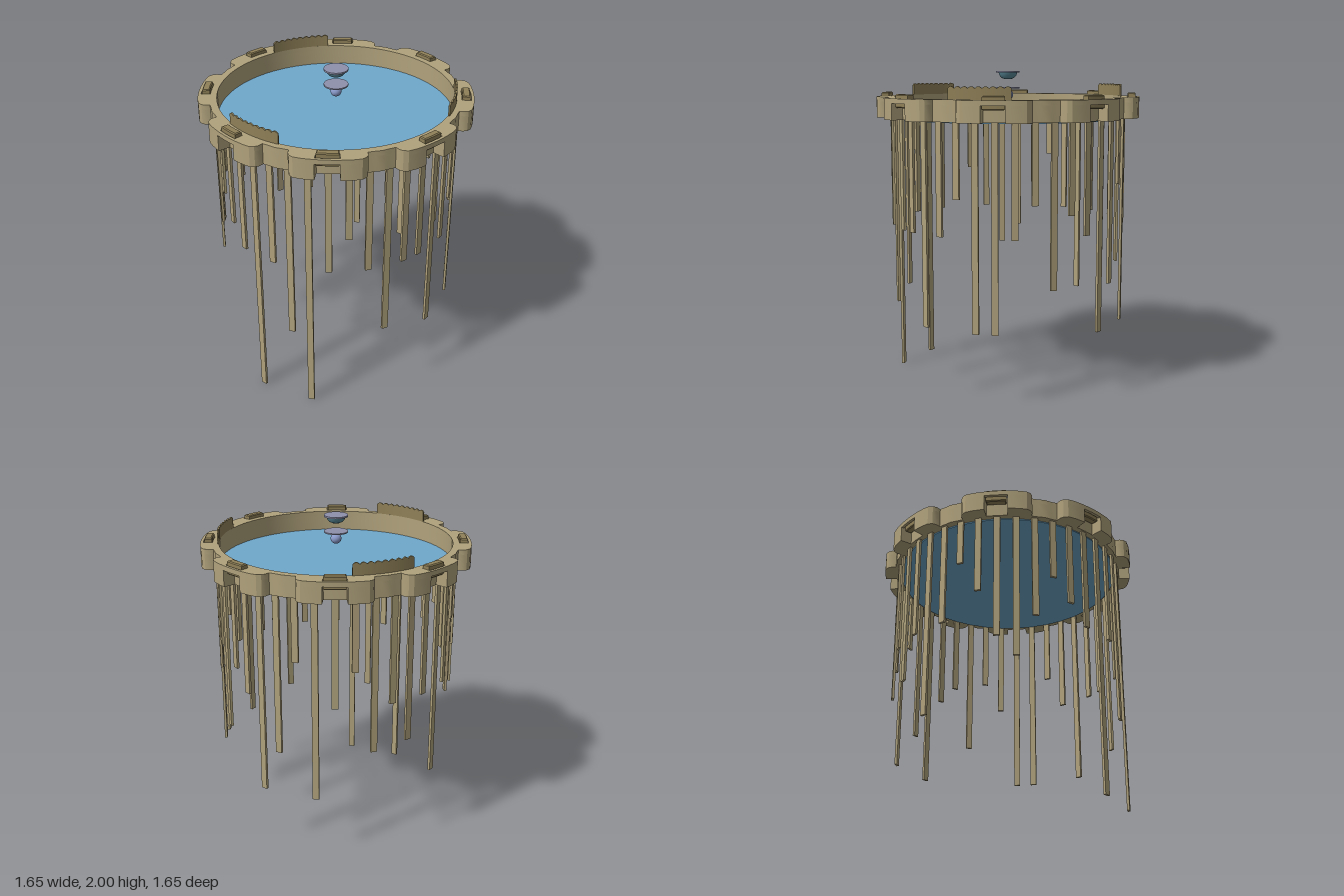
import * as THREE from 'three';
import { toCreasedNormals } from 'three/addons/utils/BufferGeometryUtils.js';

const RAD = Math.PI / 180;
const mat = (color, side = THREE.FrontSide) =>
  new THREE.MeshStandardMaterial({ color, side });
const wood = mat(0xb0a27c);
const darkWood = mat(0x8f8058, THREE.DoubleSide);
const water = mat(0x6fa8cc, THREE.DoubleSide);
const violet = mat(0x8f90ab);
const teal = mat(0x5b8c9c, THREE.DoubleSide);
const blue = mat(0x8c9ccc);

const polar = (r, deg) => new THREE.Vector2(r * Math.cos(deg * RAD), r * Math.sin(deg * RAD));

// Flat outline raised from y0 to y1
function slab(shape, y0, y1, bevel = 0) {
  const g = new THREE.ExtrudeGeometry(shape, {
    depth: y1 - y0 - bevel, bevelEnabled: bevel > 0, bevelThickness: bevel,
    bevelSize: bevel, bevelOffset: -bevel, bevelSegments: 1, curveSegments: 64,
  });
  g.rotateX(-Math.PI / 2).translate(0, y0, 0);
  return toCreasedNormals(g, 0.5);
}

// Curved rectangle between two radii, centred on an angle
function sector(r0, r1, mid, half) {
  const pts = [];
  for (let i = 0; i <= 6; i++) pts.push(polar(r1, mid - half + (i * half) / 3));
  for (let i = 6; i >= 0; i--) pts.push(polar(r0, mid - half + (i * half) / 3));
  return pts;
}

// Eight-lobed ring outline, optionally with a notch in each lobe
function rimShape(notched) {
  const side = [[-22.5, 0.775], [-19.5, 0.77], [-16.3, 0.77], [-16, 0.8], [-15, 0.822],
    [-13.2, 0.837], [-10, 0.84], [-7, 0.84], [-4.9, 0.84]];
  const middle = notched
    ? [[-4.9, 0.765], [0, 0.765], [4.9, 0.765]]
    : [[-2.5, 0.84], [0, 0.84], [2.5, 0.84]];
  const mirrored = side.slice(1).reverse().map(([a, r]) => [-a, r]);
  const lobe = [...side, ...middle, ...mirrored];
  const pts = [];
  for (let k = 0; k < 8; k++)
    for (const [a, r] of lobe) pts.push(polar(r, 22.5 + 45 * k + a));
  const shape = new THREE.Shape(pts);
  shape.holes.push(new THREE.Path().absarc(0, 0, 0.725, 0, Math.PI * 2, true));
  return shape;
}

// Thin curved fence with a scalloped top edge
function fenceGeometry(start) {
  const n = 64, g = new THREE.BoxGeometry(1, 1, 1, n, 1, 1), p = g.attributes.position;
  for (let i = 0; i < p.count; i++) {
    const t = p.getX(i) + 0.5;
    const a = (start + 30 * (1 - t)) * RAD;
    const r = 0.73 + p.getZ(i) * 0.01;
    const y = p.getY(i) > 0 ? 1.904 + 0.012 * Math.abs(Math.sin(t * Math.PI * 9)) : 1.82;
    p.setXYZ(i, r * Math.cos(a), y, -r * Math.sin(a));
  }
  return toCreasedNormals(g, 0.5);
}

export function createModel() {
  const model = new THREE.Group();
  const add = (name, geo, material, parent = model) => {
    const m = new THREE.Mesh(geo, material);
    m.name = name;
    parent.add(m);
    return m;
  };

  // Lobed rim: notched lower layer, slotted upper layer
  const top = rimShape(false);
  for (let k = 0; k < 8; k++)
    top.holes.push(new THREE.Path(sector(0.765, 0.822, 22.5 + 45 * k, 4.9).reverse()));
  add('rimLower', slab(rimShape(true), 1.71, 1.81), wood);
  add('rimUpper', slab(top, 1.81, 1.84), wood);

  // Loose blocks sitting in the slots
  for (let k = 0; k < 8; k++) {
    const shape = new THREE.Shape(sector(0.768, 0.815, 22.5 + 45 * k, 4.6));
    add('slotBlock', slab(shape, 1.79, 1.865, 0.006), darkWood);
  }

  // Water surface
  add('waterDisc', new THREE.CylinderGeometry(0.728, 0.728, 0.01, 96).translate(0, 1.708, 0), water);

  // Three scalloped fences
  for (const start of [0, 120, 240]) add('scallopedFence', fenceGeometry(start), darkWood);

  // Hanging posts: lower ends per quadrant, from the z axis round to the x axis
  const posts = new THREE.Group();
  posts.name = 'hangingPosts';
  model.add(posts);
  const quadrants = [
    [1, 1, [0.54, 0, 1.03, 1.26, 1.03, 0.555, 1.03, 1.03, 0.46, 1.03]],
    [-1, 1, [1.03, 0, 1.03, 1.16, 1.31, 1.03, 0.76, 0.89, 1.2, 1.41]],
    [1, -1, [0.7, 0.415, 1.03, 1.16, 0.72, 1.23, 1.03, 0.46, 0.46, 1.26]],
    [-1, -1, [1.31, 0.415, 1.03, 1.26, 0.73, 1.03, 0.76, 1.03, 0.46, 1.03]],
  ];
  for (const [sx, sz, ends] of quadrants)
    ends.forEach((end, i) => {
      const a = (4.5 + 9 * i) * RAD, h = 1.72 - end;
      const post = add('post', new THREE.BoxGeometry(0.04, h, 0.016), wood, posts);
      post.position.set(sx * 0.745 * Math.sin(a), end + h / 2, sz * 0.745 * Math.cos(a));
      post.rotation.y = Math.atan2(post.position.x, post.position.z);
    });

  // Floating centrepiece: bead under a disc, then a bowl under a second disc
  add('bead', new THREE.SphereGeometry(0.034, 24, 16).translate(0, 1.85, 0), blue);
  add('beadNeck', new THREE.CylinderGeometry(0.02, 0.015, 0.022, 24).translate(0, 1.882, 0), blue);
  add('lowerDisc', new THREE.CylinderGeometry(0.075, 0.075, 0.008, 48).translate(0, 1.894, 0), violet);
  const bowl = [[0, 1.948], [0.025, 1.95], [0.042, 1.958], [0.054, 1.972], [0.06, 1.99]]
    .map(([r, y]) => new THREE.Vector2(r, y));
  add('bowl', new THREE.LatheGeometry(bowl, 48), teal);
  add('upperDisc', new THREE.CylinderGeometry(0.075, 0.075, 0.01, 48).translate(0, 1.995, 0), violet);

  return model;
}
